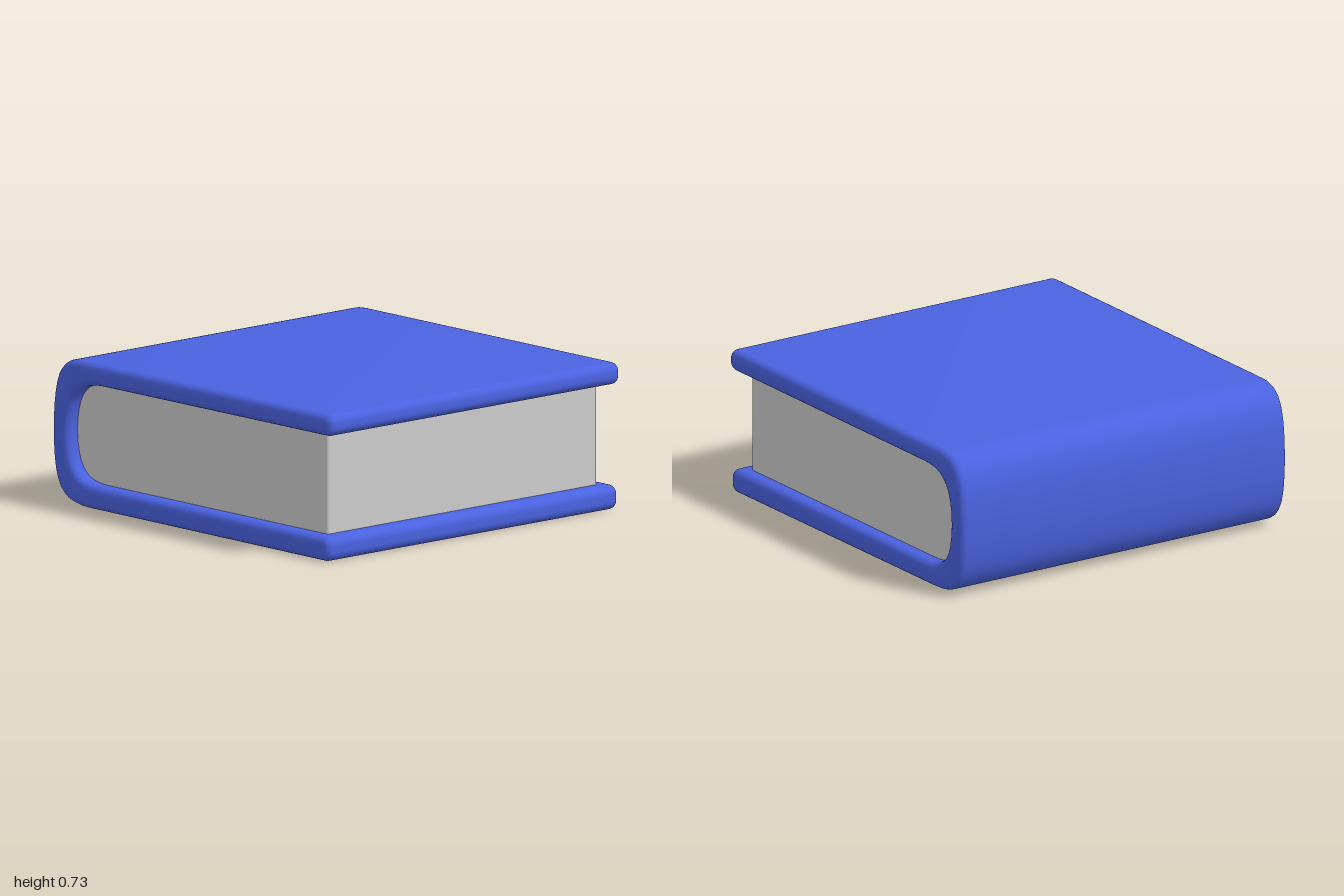
import * as THREE from 'three';
import { mergeVertices, toCreasedNormals } from 'three/addons/utils/BufferGeometryUtils.js';
import { RoundedBoxGeometry } from 'three/addons/geometries/RoundedBoxGeometry.js';

const DEPTH = 1.9;
const BEVEL = 0.035;

// C-shaped cross-section: two boards joined by a gently bowed spine
function coverProfile() {
  const r = 0.045;
  const s = new THREE.Shape();
  s.moveTo(-0.74, 0.005);
  // lower board, rounded fore-edge
  s.absarc(0.98 - r, r, r, -Math.PI / 2, 0, false);
  s.absarc(0.98 - r, 0.12 - r, r, 0, Math.PI / 2, false);
  s.lineTo(-0.66, 0.122);
  // inside of the spine
  s.bezierCurveTo(-0.79, 0.124, -0.88, 0.15, -0.885, 0.365);
  s.bezierCurveTo(-0.88, 0.58, -0.79, 0.612, -0.66, 0.616);
  // upper board, slightly longer
  s.absarc(0.995 - r, 0.617 + r, r, -Math.PI / 2, 0, false);
  s.absarc(0.995 - r, 0.725 - r, r, 0, Math.PI / 2, false);
  s.lineTo(-0.8, 0.725);
  // outside of the spine
  s.bezierCurveTo(-0.96, 0.725, -0.995, 0.62, -1, 0.365);
  s.bezierCurveTo(-0.995, 0.1, -0.96, 0.005, -0.74, 0.005);
  return s;
}

export function createModel() {
  const book = new THREE.Group();
  book.name = 'book';

  // Cover with softly rounded rims
  let geo = new THREE.ExtrudeGeometry(coverProfile(), {
    depth: DEPTH - 2 * BEVEL, curveSegments: 10,
    bevelEnabled: true, bevelSize: BEVEL, bevelThickness: BEVEL,
    bevelOffset: -BEVEL, bevelSegments: 5,
  });
  geo.translate(0, 0, BEVEL - DEPTH / 2);
  geo.deleteAttribute('uv');
  geo.deleteAttribute('normal');
  geo = toCreasedNormals(mergeVertices(geo, 1e-4), 0.7);
  const cover = new THREE.Mesh(geo, new THREE.MeshStandardMaterial({ color: 0x4a62e0 }));
  cover.name = 'cover';
  book.add(cover);

  // Page block, tucked into the boards and spine
  const pages = new THREE.Mesh(
    new RoundedBoxGeometry(1.8, 0.57, 1.76, 3, 0.012),
    new THREE.MeshStandardMaterial({ color: 0xcccccc }));
  pages.position.set(0, 0.365, 0);
  pages.name = 'pages';
  book.add(pages);

  return book;
}
